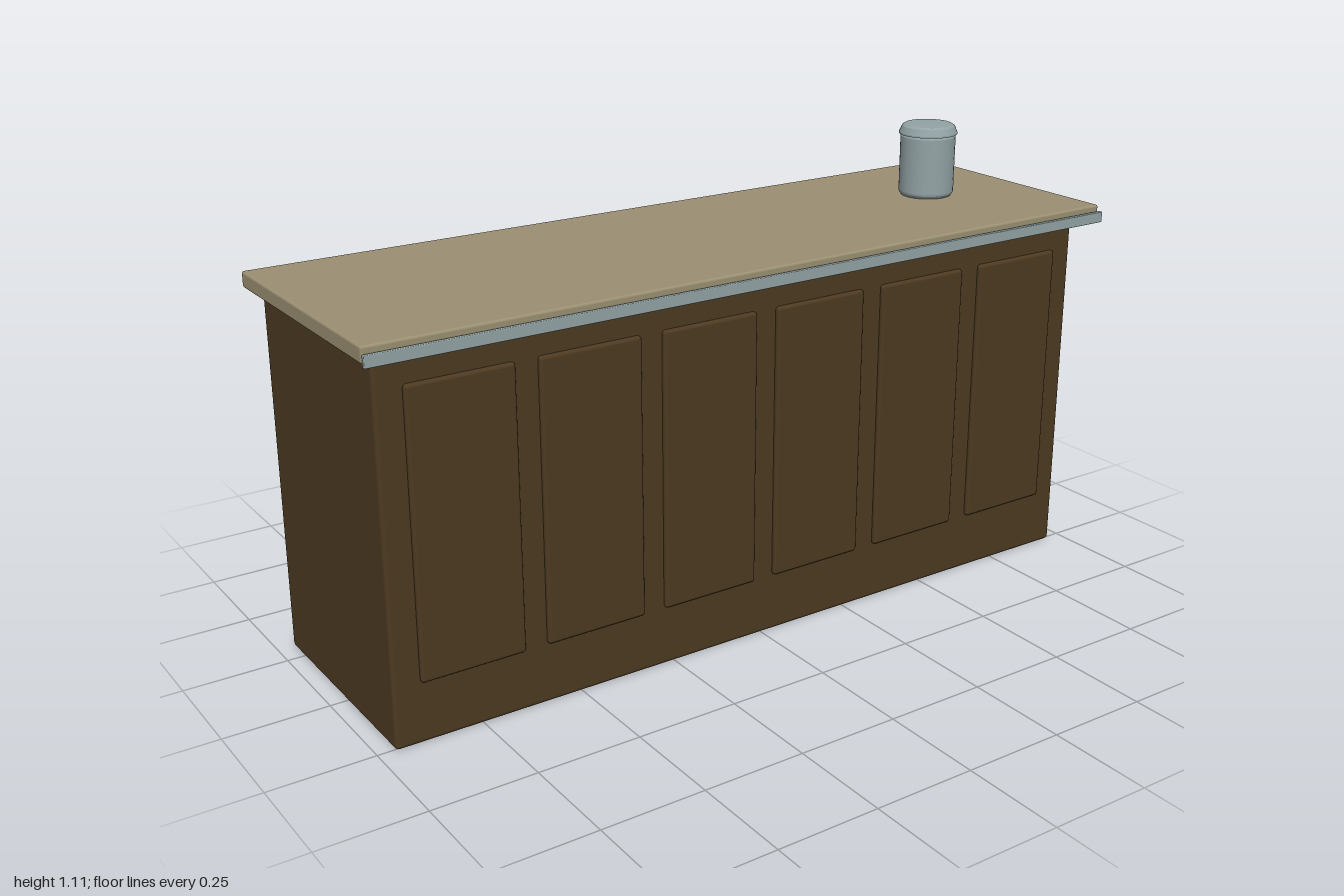
import * as THREE from 'three';
import { RoundedBoxGeometry } from 'three/addons/geometries/RoundedBoxGeometry.js';

const mat = (name, color) => new THREE.MeshStandardMaterial({ name, color });

export function createModel() {
  const group = new THREE.Group();
  group.name = 'barCounter';
  const wood = mat('dark wood', 0x4d3a21);
  const stone = mat('tan worktop', 0x9b9073);
  const steel = mat('grey steel', 0x93a3a5);

  // Softly bevelled box given by its min and max corners
  const box = (name, material, [x0, y0, z0], [x1, y1, z1], bevel) => {
    const mesh = new THREE.Mesh(
      new RoundedBoxGeometry(x1 - x0, y1 - y0, z1 - z0, 2, bevel), material);
    mesh.position.set((x0 + x1) / 2, (y0 + y1) / 2, (z0 + z1) / 2);
    mesh.name = name;
    group.add(mesh);
  };

  // Cabinet, floating worktop and front rail
  box('cabinet', wood, [-0.96, 0, -0.315], [0.96, 0.885, 0.26], 0.01);
  box('worktop', stone, [-1, 0.892, -0.325], [1, 0.93, 0.31], 0.006);
  box('frontRail', steel, [-1, 0.888, 0.314], [1, 0.915, 0.325], 0.002);

  // Six raised front panels
  for (let i = 0; i < 6; i++) {
    const x = (i - 2.5) * 0.308;
    box('frontPanel' + (i + 1), wood, [x - 0.126, 0.147, 0.25], [x + 0.126, 0.818, 0.271], 0.008);
  }

  // Canister with a tapered lid; each profile strip is separate so its edges stay crisp
  const canister = new THREE.Group();
  canister.name = 'canister';
  canister.position.set(0.72, 0.93, -0.027);
  const turned = (name, profile) => {
    const part = new THREE.Group();
    part.name = name;
    for (let i = 0; i < profile.length - 1; i++) {
      const pts = [profile[i], profile[i + 1]].map(([r, y]) => new THREE.Vector2(r, y));
      const strip = new THREE.Mesh(new THREE.LatheGeometry(pts, 32), steel);
      strip.name = name + 'Face';
      part.add(strip);
    }
    canister.add(part);
  };
  turned('jar', [[0, 0], [0.064, 0], [0.069, 0.007], [0.07, 0.012], [0.07, 0.152], [0.067, 0.158], [0, 0.158]]);
  turned('lid', [[0, 0.158], [0.074, 0.158], [0.074, 0.162], [0.067, 0.178], [0.061, 0.182], [0, 0.184]]);
  group.add(canister);
  return group;
}
